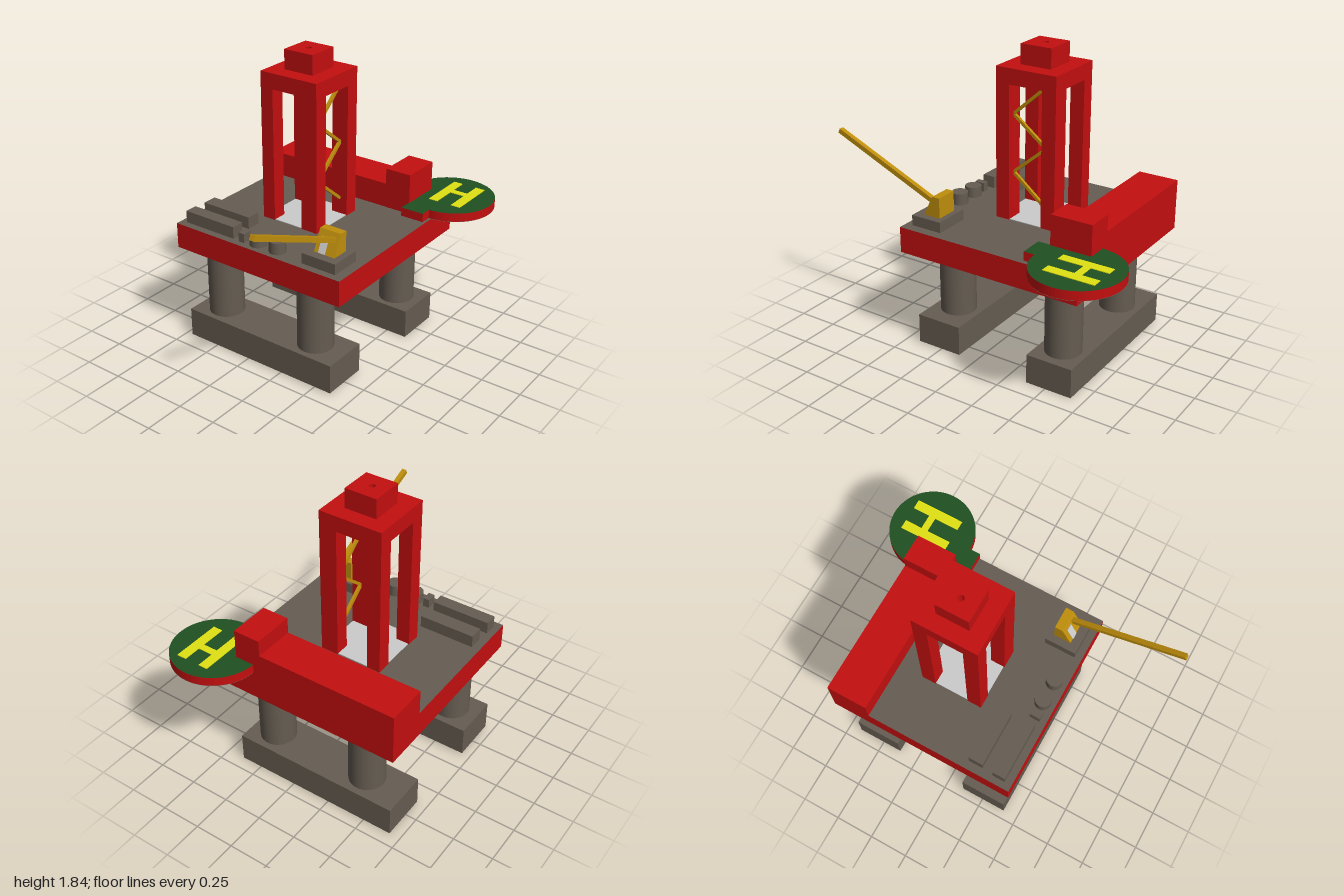
import * as THREE from 'three';

const mat = (color) => new THREE.MeshStandardMaterial({ color });
const RED = mat(0xc40f0f), STEEL = mat(0x665d52), DARK = mat(0x40372f), GREEN = mat(0x215022),
  YELLOW = mat(0xe2e214), GOLD = mat(0xbf8e0c), GREY = mat(0xcccccc);

export function createModel() {
  const root = new THREE.Group();

  const add = (name, geo, material) => {
    const mesh = new THREE.Mesh(geo, material);
    mesh.name = name;
    root.add(mesh);
    return mesh;
  };
  // Box from its min and max along each axis
  const box = (name, m, x0, x1, y0, y1, z0, z1) => {
    const mesh = add(name, new THREE.BoxGeometry(x1 - x0, y1 - y0, z1 - z0), m);
    mesh.position.set((x0 + x1) / 2, (y0 + y1) / 2, (z0 + z1) / 2);
    return mesh;
  };
  // Upright cylinder
  const post = (name, m, x, z, r, y0, y1, sides = 40) => {
    const mesh = add(name, new THREE.CylinderGeometry(r, r, y1 - y0, sides), m);
    mesh.position.set(x, (y0 + y1) / 2, z);
    return mesh;
  };
  // Horizontal plate extruded upwards from an outline drawn in (x, -z)
  const plate = (name, m, shape, y0, y1) => add(name,
    new THREE.ExtrudeGeometry(shape, { depth: y1 - y0, bevelEnabled: false, curveSegments: 36 })
      .rotateX(-Math.PI / 2).translate(0, y0, 0), m);
  const outline = (pts) => new THREE.Shape(pts.map(([x, z]) => new THREE.Vector2(x, -z)));
  // Straight beam of square section between two points
  const beam = (name, m, a, b, w, h) => {
    const p = new THREE.Vector3(...a), q = new THREE.Vector3(...b);
    const mesh = add(name, new THREE.BoxGeometry(w, h, p.distanceTo(q)), m);
    mesh.position.copy(p).add(q).multiplyScalar(0.5);
    mesh.lookAt(q);
    return mesh;
  };

  // Pontoons and columns
  box('frontPontoon', STEEL, -0.70, 0.37, 0.01, 0.195, 0.11, 0.405);
  box('rearPontoon', STEEL, -0.68, 0.385, 0, 0.183, -0.67, -0.375);
  for (const [x, z] of [[-0.525, 0.26], [0.16, 0.26], [-0.425, -0.52], [0.22, -0.52]])
    post('column', STEEL, x, z, 0.11, 0.17, 0.65);

  // Deck with red sides, and the housing along its rear edge
  box('deck', [RED, RED, STEEL, STEEL, RED, RED], -0.73, 0.46, 0.64, 0.80, -0.735, 0.45);
  box('rearHousing', RED, -0.73, 0.145, 0.80, 0.955, -0.735, -0.48);
  box('controlTower', RED, 0.145, 0.315, 0.80, 1.055, -0.735, -0.478);

  // Helipad: disc with a short walkway, red rim, steel underside
  const pad = new THREE.Shape();
  pad.moveTo(0.31, 0.40);
  pad.lineTo(0.46, 0.40);
  pad.absarc(0.46, 0.735, 0.265, -Math.PI / 2, Math.PI * 1.308, false);
  plate('helipad', [GREEN, RED], pad, 0.818, 0.872);
  add('helipadUnderside', new THREE.ShapeGeometry(pad, 36).rotateX(-Math.PI / 2)
    .scale(1, 1, 1).translate(0, 0.816, 0), new THREE.MeshStandardMaterial({ color: 0x665d52, side: THREE.DoubleSide }));
  // Landing mark
  plate('landingMark', YELLOW, outline([
    [0.38, -0.60], [0.438, -0.60], [0.438, -0.757], [0.533, -0.757], [0.533, -0.60], [0.594, -0.60],
    [0.594, -0.91], [0.533, -0.91], [0.533, -0.80], [0.438, -0.80], [0.438, -0.91], [0.38, -0.91],
  ]), 0.872, 0.876);

  // Derrick: four legs, bored crown and top block
  const [X0, X1, Z0, Z1] = [-0.37, 0.025, -0.325, 0.07];
  for (const [a, b] of [[X0, -0.285], [-0.085, X1]])
    for (const [c, d] of [[Z0, -0.235], [-0.02, Z1]])
      box('derrickLeg', RED, a, b, 0.80, 1.63, c, d);
  const bored = (x0, x1, z0, z1) => {
    const s = outline([[x0, z1], [x1, z1], [x1, z0], [x0, z0]]);
    s.holes.push(new THREE.Path().absarc(-0.18, 0.13, 0.018, 0, Math.PI * 2, true));
    return s;
  };
  plate('derrickCrown', RED, bored(X0, X1, Z0, Z1), 1.625, 1.72);
  plate('crownBlock', RED, bored(-0.275, -0.075, -0.23, -0.03), 1.72, 1.84);
  box('drillFloor', GREY, X0 + 0.005, X1 - 0.005, 0.79, 0.804, Z0 + 0.005, Z1 - 0.005);
  const pipe = post('drillPipe', [DARK, GREY, DARK], -0.18, -0.13, 0.018, 0.57, 1.65, 20);
  pipe.scale.set(1.02, 1, 1.02);

  // Zigzag bracing on the left face of the derrick
  const zig = [[1.635, -0.235], [1.44, -0.015], [1.27, -0.235], [1.085, -0.015], [0.905, -0.235]];
  for (let i = 0; i < 4; i++)
    beam('brace', GOLD, [-0.03, ...zig[i]], [-0.03, ...zig[i + 1]], 0.018, 0.018);

  // Crane: plinth, sloped cab with window, boom
  box('cranePlinth', STEEL, 0.17, 0.40, 0.80, 0.865, 0.205, 0.405);
  const cab = new THREE.Shape([[0.24, 0.865], [0.35, 0.865], [0.29, 0.99], [0.24, 0.99]]
    .map(([z, y]) => new THREE.Vector2(z, y)));
  add('craneCab', new THREE.ExtrudeGeometry(cab, { depth: 0.14, bevelEnabled: false })
    .rotateY(-Math.PI / 2).translate(0.356, 0, 0), GOLD);
  const pane = box('cabWindow', GREY, 0.245, 0.29, 0.862, 0.96, 0.326, 0.332);
  pane.rotation.x = -0.4476;
  beam('craneBoom', GOLD, [0.32, 0.94, 0.28], [0.32, 1.247, 0.993], 0.03, 0.03);

  // Deck equipment
  box('storageRack', STEEL, -0.68, -0.335, 0.80, 0.875, 0.165, 0.255);
  box('storageRack', STEEL, -0.69, -0.325, 0.80, 0.875, 0.325, 0.405);
  box('locker', STEEL, -0.28, -0.24, 0.80, 0.857, 0.345, 0.41);
  post('tank', STEEL, -0.165, 0.372, 0.05, 0.80, 0.865, 32);
  post('tank', STEEL, -0.025, 0.372, 0.05, 0.80, 0.872, 32);

  return root;
}
